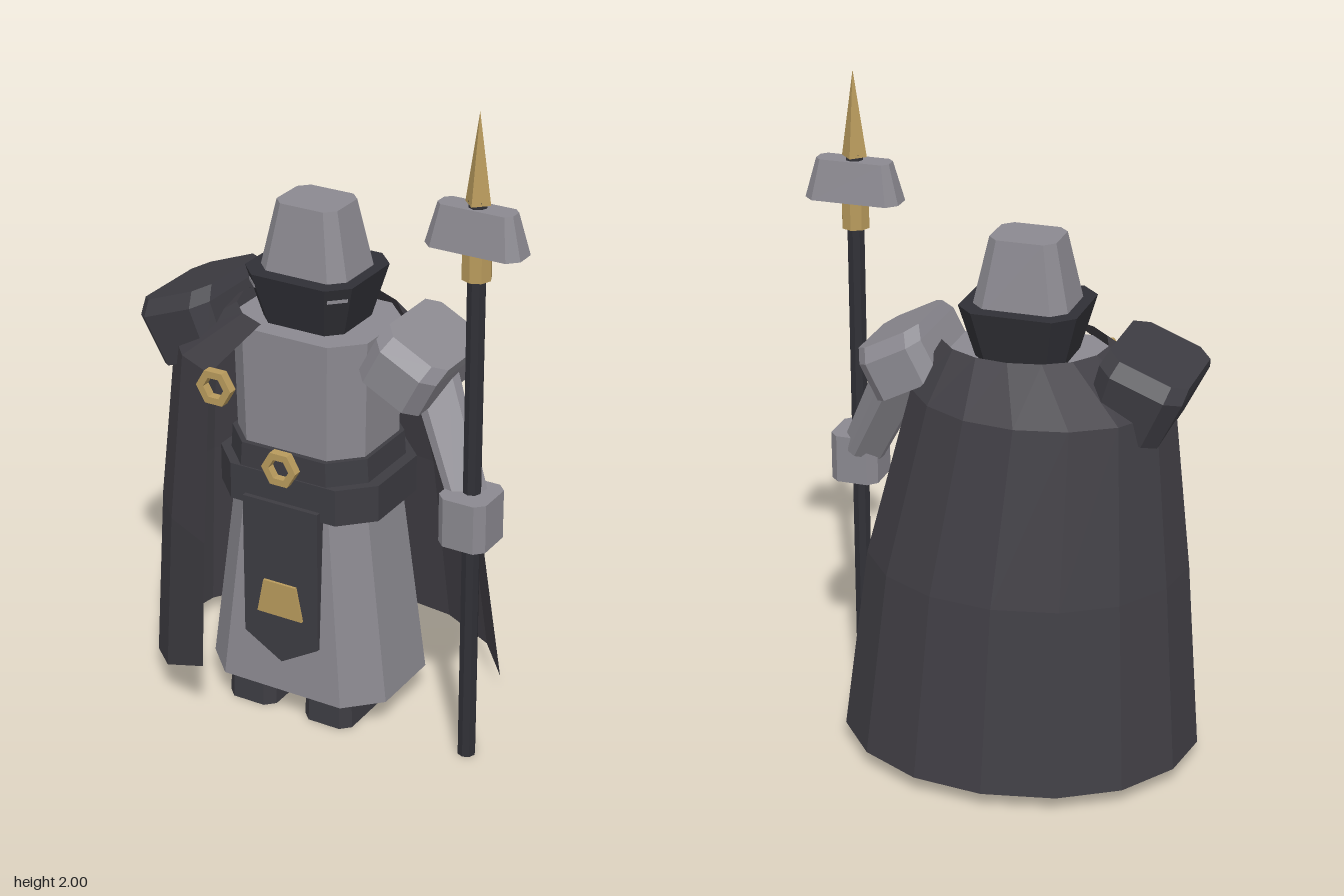
import * as THREE from 'three';

const mat = (name, color, side = THREE.FrontSide) =>
  new THREE.MeshStandardMaterial({ name, color, side, flatShading: true });

// Flat-shaded geometry from rings of points, listed bottom to top
function skin(rings, closed) {
  const out = [];
  const tri = (...p) => p.forEach(v => out.push(...v));
  const n = rings[0].length;
  for (let r = 0; r < rings.length - 1; r++) {
    for (let i = 0; i < (closed ? n : n - 1); i++) {
      const j = (i + 1) % n, lo = rings[r], hi = rings[r + 1];
      tri(lo[i], hi[i], lo[j]);
      tri(lo[j], hi[i], hi[j]);
    }
  }
  if (closed) {
    const lo = rings[0], hi = rings[rings.length - 1];
    for (let i = 1; i < n - 1; i++) {
      tri(lo[0], lo[i], lo[i + 1]);
      tri(hi[0], hi[i + 1], hi[i]);
    }
  }
  const g = new THREE.BufferGeometry();
  g.setAttribute('position', new THREE.Float32BufferAttribute(out, 3));
  g.computeVertexNormals();
  return g;
}

// Box with cut corners and a changing section; each level is [y, halfX, halfZ]
function block(levels, cut = 0.35) {
  return skin(levels.map(([y, a, b]) => {
    const c = cut * Math.min(a, b);
    return [[a, b - c], [a - c, b], [c - a, b], [-a, b - c],
      [-a, c - b], [c - a, -b], [a - c, -b], [a, c - b]].map(([x, z]) => [x, y, z]);
  }), true);
}

export function createModel() {
  const model = new THREE.Group();
  const stone = mat('stone grey', 0x8b8990);
  const charcoal = mat('charcoal', 0x3d3c42);
  const cloth = mat('cape cloth', 0x403e44, THREE.DoubleSide);
  const iron = mat('dark iron', 0x303036);
  const gold = mat('gold', 0xb89a5c);

  const add = (name, geo, material, x = 0, y = 0, z = 0, parent = model) => {
    const m = new THREE.Mesh(geo, material);
    m.name = name;
    m.position.set(x, y, z);
    parent.add(m);
    return m;
  };

  // Body, centred on its own axis
  const body = new THREE.Group();
  body.name = 'body';
  body.position.set(-0.09, 0, 0.06);
  model.add(body);
  const part = (name, geo, material, x, y, z) => add(name, geo, material, x, y, z, body);

  for (const s of [-1, 1]) {
    part(s < 0 ? 'rightFoot' : 'leftFoot',
      block([[0, 0.082, 0.135], [0.12, 0.078, 0.13]]), charcoal, s * 0.133, 0, 0.065);
  }
  part('robe', block([[0.09, 0.303, 0.222], [0.72, 0.225, 0.185]], 0.45), stone);
  part('torso', block([[0.78, 0.215, 0.18], [1.24, 0.225, 0.185]], 0.45), stone);
  part('belt', block([[0.69, 0.27, 0.205], [0.805, 0.27, 0.205]], 0.45), charcoal);
  part('upperBelt', block([[0.8, 0.235, 0.2], [0.88, 0.23, 0.198]], 0.45), charcoal);

  // Helmet, flared face guard and eye slits
  part('faceGuard', block([[1.24, 0.135, 0.12], [1.4, 0.178, 0.163]]), iron);
  part('helmet', block([[1.38, 0.147, 0.12], [1.6, 0.1, 0.085]]), stone);
  for (const s of [-1, 1]) {
    part('eyeSlit', new THREE.BoxGeometry(0.06, 0.01, 0.008), stone, s * 0.14, 1.36, 0.125)
      .rotation.y = s * Math.PI / 4;
  }

  // Pointed tabard with its emblem plate
  const flat = (pts, depth) => new THREE.ExtrudeGeometry(
    new THREE.Shape(pts.map(p => new THREE.Vector2(...p))), { depth, bevelEnabled: false });
  part('tabard', flat([[-0.127, 0.72], [-0.127, 0.265], [0, 0.19], [0.127, 0.265], [0.127, 0.72]], 0.05),
    charcoal, 0, 0, 0.171);
  part('tabardPlate', flat([[-0.077, 0.35], [0.077, 0.35], [0.055, 0.46], [-0.055, 0.46]], 0.009),
    gold, 0, 0, 0.221);

  // Hexagonal belt buckle and cape clasp
  const hexRing = () => {
    const shape = new THREE.Shape(), hole = new THREE.Path();
    for (let i = 0; i < 6; i++) {
      const a = i * Math.PI / 3, f = i ? 'lineTo' : 'moveTo';
      shape[f](0.058 * Math.cos(a), 0.058 * Math.sin(a));
      hole[f](0.034 * Math.cos(a), 0.034 * Math.sin(a));
    }
    shape.holes.push(hole);
    return new THREE.ExtrudeGeometry(shape, { depth: 0.028, bevelEnabled: false });
  };
  add('beltBuckle', hexRing(), gold, -0.09, 0.835, 0.258);
  add('capeClasp', hexRing(), gold, -0.22, 1.12, 0.39);

  // Cape: hem outline [x, z, y], shrunk and shifted towards the collar
  const hem = [[0.41, -0.18, 0.05], [0.285, -0.33, 0.05], [0.1, -0.425, 0.05], [-0.115, -0.45, 0.05],
    [-0.33, -0.405, 0.05], [-0.5, -0.3, 0.05], [-0.61, -0.135, 0.05], [-0.637, 0.045, 0.05],
    [-0.58, 0.22, 0.055], [-0.45, 0.36, 0.11], [-0.26, 0.45, 0.21]].reverse();
  // each level: y, scale x, offset x, scale z, offset z
  const levels = [[null, 1, 0, 1, 0], [0.62, 0.893, -0.021, 0.911, 0.025],
    [1.14, 0.716, -0.074, 0.735, 0.046], [1.275, 0.454, -0.036, 0.439, 0.0675]];
  add('cape', skin(levels.map(([y, sx, ox, sz, oz]) =>
    hem.map(([x, z, h]) => [x * sx + ox, y ?? h, z * sz + oz])), false), cloth);

  // Shoulder guards
  add('rightShoulderGuard', block([[-0.1, 0.115, 0.19], [0.06, 0.13, 0.207], [0.1, 0.125, 0.165]]),
    charcoal, -0.45, 1.185, 0.067).rotation.z = 0.37;
  add('leftShoulderGuard', block([[-0.08, 0.108, 0.18], [0.04, 0.108, 0.18], [0.08, 0.106, 0.14]]),
    stone, 0.27, 1.203, 0.07).rotation.z = -0.48;

  // Left arm reaching to the spear, and the hand
  const from = new THREE.Vector3(0.28, 1.17, 0.05), to = new THREE.Vector3(0.46, 0.83, 0.15);
  const dir = to.clone().sub(from);
  const arm = add('leftArm', block([[0, 0.065, 0.07], [dir.length(), 0.05, 0.058]]), stone, ...from);
  arm.quaternion.setFromUnitVectors(new THREE.Vector3(0, 1, 0), dir.normalize());
  add('leftHand', block([[0.72, 0.075, 0.08], [0.87, 0.075, 0.08]]), stone, 0.485, 0, 0.18);

  // Spear
  const spear = new THREE.Group();
  spear.name = 'spear';
  spear.position.set(0.485, 0, 0.177);
  model.add(spear);
  add('shaft', new THREE.CylinderGeometry(0.027, 0.027, 1.75, 8), iron, 0, 0.875, 0, spear);
  add('spearCollar', new THREE.CylinderGeometry(0.043, 0.043, 0.09, 8), gold, 0, 1.567, 0, spear);
  add('spearHead', block([[1.61, 0.146, 0.06], [1.73, 0.114, 0.035]], 0.5), stone, 0, 0, 0, spear);
  add('spearTip', new THREE.ConeGeometry(0.039, 0.26, 4), gold, 0, 1.87, 0, spear);

  return model;
}
